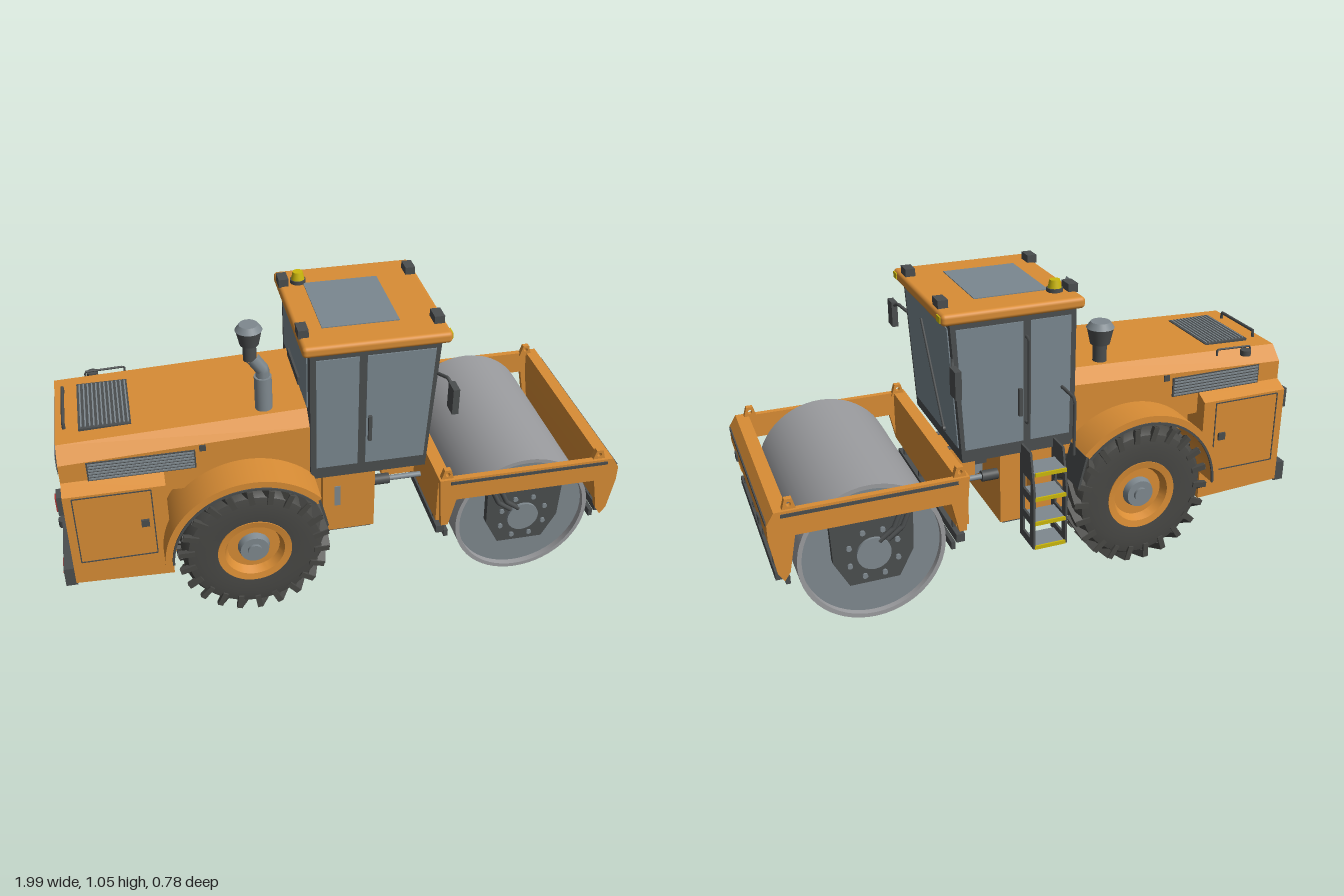
import * as THREE from 'three';
import { toCreasedNormals } from 'three/addons/utils/BufferGeometryUtils.js';
import { RoundedBoxGeometry } from 'three/addons/geometries/RoundedBoxGeometry.js';

const colour = (name, hex) => {
  const m = new THREE.MeshStandardMaterial({ color: hex });
  m.name = name;
  return m;
};

export function createModel() {
  const model = new THREE.Group();
  model.name = 'roadRoller';
  const paint = colour('orangePaint', 0xd98d35), dark = colour('darkMetal', 0x4b4e4f);
  const glass = colour('glass', 0x7a8890), rubber = colour('rubber', 0x484845);
  const steel = colour('drumSteel', 0x9b9c9f), grey = colour('greyMetal', 0x7f898f);
  const yellow = colour('signalYellow', 0xccb80c), red = colour('tailRed', 0xa83434);

  // Helpers
  const add = (name, geo, mat, x = 0, y = 0, z = 0, parent = model) => {
    const m = new THREE.Mesh(geo, mat);
    m.name = name;
    m.position.set(x, y, z);
    parent.add(m);
    return m;
  };
  const box = (name, mat, w, h, d, x, y, z, parent) => add(name, new THREE.BoxGeometry(w, h, d), mat, x, y, z, parent);
  const cyl = (name, mat, r1, r2, h, x, y, z, axis = 'y', parent = model) => {
    const m = add(name, new THREE.CylinderGeometry(r1, r2, h, 32), mat, x, y, z, parent);
    if (axis === 'z') m.rotation.x = Math.PI / 2;
    if (axis === 'x') m.rotation.z = -Math.PI / 2;
    return m;
  };
  const outline = pts => new THREE.Shape(pts.map(p => new THREE.Vector2(...p)));
  const slab = (name, mat, shape, depth, z, parent) => add(name, toCreasedNormals(
    new THREE.ExtrudeGeometry(shape, { depth, bevelEnabled: false, curveSegments: 32 }), 0.5), mat, 0, 0, z - depth / 2, parent);
  const tube = (name, mat, pts, r, parent = model) => {
    const path = new THREE.CurvePath(), v = pts.map(p => new THREE.Vector3(...p));
    for (let i = 1; i < v.length; i++) path.add(new THREE.LineCurve3(v[i - 1], v[i]));
    return add(name, new THREE.TubeGeometry(path, (v.length - 1) * 6, r, 8), mat, 0, 0, 0, parent);
  };
  const lathe = (name, mat, pts, parent) => add(name, toCreasedNormals(
    new THREE.LatheGeometry(pts.map(p => new THREE.Vector2(...p)), 56), 0.6), mat, 0, 0, 0, parent);
  // Skin over [x, y, z] cross-sections ordered along +x
  const loft = (name, mat, sections) => {
    const pos = [], n = sections[0].length, last = sections.length - 1;
    const tri = (...p) => p.forEach(q => pos.push(...q));
    for (let k = 0; k < last; k++) for (let i = 0; i < n; i++) {
      const j = (i + 1) % n, a = sections[k], b = sections[k + 1];
      tri(a[i], a[j], b[j]);
      tri(a[i], b[j], b[i]);
    }
    for (let i = 1; i < n - 1; i++) {
      tri(sections[last][0], sections[last][i], sections[last][i + 1]);
      tri(sections[0][0], sections[0][i + 1], sections[0][i]);
    }
    const g = new THREE.BufferGeometry();
    g.setAttribute('position', new THREE.Float32BufferAttribute(pos, 3));
    g.computeVertexNormals();
    return add(name, g, mat);
  };
  const hoodSection = (x, top, mid, low, zt, zm) =>
    [[x, top, -zt], [x, top, zt], [x, mid, zm], [x, low, zm], [x, low, -zm], [x, mid, -zm]];

  // Rear body, hood and chassis
  loft('hood', paint, [hoodSection(-0.95, 0.695, 0.645, 0.5, 0.2, 0.25), hoodSection(-0.11, 0.725, 0.68, 0.48, 0.2, 0.25)]);
  loft('engineHousing', paint, [hoodSection(-0.95, 0.575, 0.55, 0.175, 0.25, 0.3), hoodSection(-0.61, 0.575, 0.55, 0.16, 0.25, 0.3)]);
  box('chassis', paint, 0.76, 0.34, 0.38, -0.24, 0.33, 0);
  box('bellyPlate', dark, 0.74, 0.008, 0.37, -0.24, 0.157, 0);
  for (let i = 0; i < 12; i++) box('topGrilleSlat', grey, 0.005, 0.008, 0.26, -0.862 + i * 0.0142, 0.707, 0);
  box('topGrille', dark, 0.175, 0.01, 0.28, -0.785, 0.702, 0);
  tube('rearHandle', dark, [[-0.92, 0.69, -0.11], [-0.92, 0.72, -0.11], [-0.92, 0.72, 0.11], [-0.92, 0.69, 0.11]], 0.006);
  tube('sideHandle', dark, [[-0.84, 0.69, -0.215], [-0.84, 0.708, -0.215], [-0.7, 0.713, -0.215], [-0.7, 0.69, -0.215]], 0.004);
  box('rearBumper', dark, 0.04, 0.075, 0.6, -0.965, 0.205, 0);
  cyl('towHitch', dark, 0.02, 0.02, 0.03, -0.983, 0.21, 0);
  box('rearGrille', dark, 0.01, 0.14, 0.32, -0.952, 0.36, 0);
  for (let i = 0; i < 7; i++) box('rearGrilleSlat', grey, 0.006, 0.006, 0.3, -0.957, 0.305 + i * 0.0185, 0);
  box('upperRearGrille', dark, 0.01, 0.065, 0.4, -0.952, 0.61, 0);
  for (let i = 0; i < 4; i++) box('upperRearSlat', grey, 0.006, 0.006, 0.38, -0.957, 0.59 + i * 0.014, 0);

  for (const s of [1, -1]) {
    box('tailLampHousing', dark, 0.02, 0.075, 0.05, -0.958, 0.51, s * 0.265);
    box('tailLamp', red, 0.006, 0.055, 0.03, -0.97, 0.51, s * 0.265);
    box('bumperReflector', red, 0.006, 0.016, 0.07, -0.987, 0.2, s * 0.23);
    box('sideGrille', dark, 0.36, 0.072, 0.008, -0.68, 0.61, s * 0.251);
    for (let i = 0; i < 6; i++) box('sideGrilleSlat', grey, 0.35, 0.006, 0.005, -0.68, 0.582 + i * 0.0115, s * 0.256);
    box('hoodLatch', dark, 0.022, 0.022, 0.008, -0.475, 0.65, s * 0.251);
    // Service door seams
    for (const y of [0.265, 0.54]) box('doorSeam', dark, 0.26, 0.004, 0.004, -0.79, y, s * 0.3);
    for (const x of [-0.92, -0.66]) box('doorSeam', dark, 0.004, 0.275, 0.004, x, 0.4025, s * 0.3);
    box('doorLatch', dark, 0.028, 0.028, 0.012, -0.69, 0.405, s * 0.302);

    // Fender arch with a dark mudflap
    const arch = new THREE.Shape();
    arch.absarc(-0.33, 0.27, 0.31, 0.72, Math.PI, false);
    arch.absarc(-0.33, 0.27, 0.28, Math.PI, 0.72, true);
    slab('fender', paint, arch, 0.2, s * 0.283);
    const lip = new THREE.Shape();
    lip.absarc(-0.33, 0.27, 0.286, 0.72, Math.PI, false);
    lip.absarc(-0.33, 0.27, 0.278, Math.PI, 0.72, true);
    slab('fenderLip', dark, lip, 0.006, s * 0.384);
    const flap = box('mudflap', dark, 0.008, 0.12, 0.13, -0.09, 0.41, s * 0.32);
    flap.rotation.z = 0.25;

    // Rear wheel
    const wheel = new THREE.Group();
    wheel.name = 'rearWheel';
    wheel.position.set(-0.33, 0.268, s * 0.287);
    model.add(wheel);
    const spun = new THREE.Group();
    spun.name = 'tyreAndRim';
    spun.rotation.x = s * Math.PI / 2;
    wheel.add(spun);
    lathe('tyre', rubber, [[0.125, -0.08], [0.19, -0.086], [0.232, -0.078], [0.248, -0.055],
      [0.25, 0], [0.248, 0.055], [0.232, 0.078], [0.19, 0.086], [0.125, 0.08]], spun);
    lathe('rim', paint, [[0, -0.06], [0.13, -0.06], [0.13, 0.084], [0.105, 0.08], [0.092, 0.05], [0, 0.05]], spun);
    cyl('hub', grey, 0.05, 0.058, 0.03, 0, 0.06, 0, 'y', spun);
    cyl('hubCap', grey, 0.025, 0.025, 0.03, 0, 0.07, 0, 'y', spun);
    for (let i = 0; i < 22; i++) for (const t of [1, -1]) {
      const lug = new THREE.Group();
      lug.name = 'treadLug';
      lug.rotation.z = (i + (t > 0 ? 0 : 0.5)) * Math.PI / 11;
      wheel.add(lug);
      box('treadBar', rubber, 0.03, 0.02, 0.1, 0.25, 0, t * 0.04, lug).rotation.x = t * 0.6;
      box('shoulderBar', rubber, 0.055, 0.02, 0.018, 0.235, -0.028, t * 0.079, lug);
    }
  }

  // Exhaust and air intake
  cyl('exhaustBase', grey, 0.03, 0.03, 0.13, -0.25, 0.78, 0.155);
  tube('exhaustPipe', grey, [[-0.25, 0.82, 0.155], [-0.25, 0.87, 0.155], [-0.283, 0.92, 0.155]], 0.024);
  cyl('intakePipe', dark, 0.025, 0.025, 0.1, -0.25, 0.76, -0.16);
  cyl('intakeBowl', dark, 0.048, 0.035, 0.06, -0.25, 0.815, -0.16);
  cyl('intakeCap', grey, 0.035, 0.05, 0.022, -0.25, 0.855, -0.16);
  cyl('fuelCap', dark, 0.02, 0.02, 0.02, -0.815, 0.69, -0.225);

  // Cab shell, windows and roof
  slab('cabShell', dark, outline([[-0.11, 0.465], [0.302, 0.465], [0.335, 0.97], [-0.11, 0.97]]), 0.52, 0);
  for (const s of [1, -1]) {
    slab('rearSideWindow', glass, outline([[-0.09, 0.512], [0.055, 0.512], [0.055, 0.945], [-0.09, 0.945]]), 0.006, s * 0.261);
    slab('frontSideWindow', glass, outline([[0.082, 0.512], [0.292, 0.512], [0.316, 0.945], [0.082, 0.945]]), 0.006, s * 0.261);
    box('doorHandle', dark, 0.012, 0.1, 0.015, 0.095, 0.66, s * 0.268);
    // Mirror on a bent arm
    tube('mirrorArm', dark, [[0.325, 0.84, s * 0.25], [0.345, 0.855, s * 0.31], [0.355, 0.838, s * 0.345]], 0.006);
    box('mirror', dark, 0.022, 0.095, 0.055, 0.352, 0.807, s * 0.36);
    box('roofMarker', yellow, 0.006, 0.022, 0.035, 0.366, 0.986, s * 0.247);
    for (const x of [-0.12, 0.338]) box('workLamp', dark, 0.035, 0.03, 0.058, x, 1.017, s * 0.18);
  }
  const tilt = -Math.atan(0.033 / 0.505);
  box('windscreen', glass, 0.006, 0.435, 0.47, 0.32, 0.728, 0).rotation.z = tilt;
  tube('wiper', dark, [[0.313, 0.525, -0.1], [0.336, 0.885, 0.05]], 0.005);
  cyl('wiperPivot', dark, 0.01, 0.01, 0.014, 0.312, 0.527, -0.1, 'x');
  box('rearWindow', glass, 0.006, 0.2, 0.44, -0.111, 0.84, 0);
  box('rearWiper', dark, 0.012, 0.03, 0.2, -0.116, 0.77, 0);
  add('roof', new RoundedBoxGeometry(0.502, 0.04, 0.556, 3, 0.014), paint, 0.115, 0.985, 0);
  box('roofHatch', glass, 0.265, 0.006, 0.32, 0.083, 1.005, 0);
  cyl('beaconBase', dark, 0.028, 0.028, 0.016, -0.065, 1.01, -0.178);
  cyl('beacon', yellow, 0.018, 0.024, 0.03, -0.065, 1.031, -0.178);

  // Side tank, ladder and handrails
  box('sideTank', paint, 0.1, 0.21, 0.46, -0.01, 0.355, 0);
  box('levelGauge', grey, 0.022, 0.085, 0.006, -0.008, 0.352, 0.231);
  const cheek = outline([[0.25, 0.14], [0.375, 0.14], [0.375, 0.36], [0.34, 0.5], [0.25, 0.5]]);
  for (let i = 0; i < 3; i++) cheek.holes.push(new THREE.Path([[0.28, 0.17], [0.345, 0.17], [0.345, 0.225], [0.28, 0.225]]
    .map(p => new THREE.Vector2(p[0], p[1] + i * 0.085))));
  for (const x of [-0.035, 0.085]) {
    const side = new THREE.Group();
    side.name = 'ladderCheek';
    side.rotation.y = Math.PI / 2;
    side.position.x = x;
    model.add(side);
    slab('ladderPlate', dark, cheek, 0.008, 0, side);
  }
  for (let i = 0; i < 4; i++) {
    box('ladderStep', grey, 0.12, 0.008, 0.095, 0.025, 0.145 + i * 0.095, -0.323);
    box('stepEdge', yellow, 0.115, 0.014, 0.006, 0.025, 0.145 + i * 0.095, -0.373);
  }
  tube('handrail', dark, [[-0.06, 0.69, -0.25], [-0.06, 0.69, -0.37], [-0.06, 0.48, -0.37]], 0.006);
  tube('doorRail', dark, [[0.07, 0.89, -0.25], [0.07, 0.89, -0.285], [0.07, 0.58, -0.285], [0.07, 0.58, -0.25]], 0.006);

  // Articulated joint with steering rams
  box('jointBlock', paint, 0.13, 0.13, 0.16, 0.26, 0.36, 0);
  cyl('jointPin', grey, 0.05, 0.05, 0.13, 0.19, 0.36, 0);
  box('jointTongue', dark, 0.12, 0.05, 0.1, 0.18, 0.36, 0);
  for (const s of [1, -1]) {
    cyl('ramBody', dark, 0.02, 0.02, 0.14, 0.13, 0.345, s * 0.16, 'x');
    cyl('ramRod', grey, 0.01, 0.01, 0.14, 0.26, 0.345, s * 0.16, 'x');
    tube('hydraulicHose', dark, [[0.13, 0.41, s * 0.06], [0.22, 0.435, s * 0.07], [0.33, 0.42, s * 0.06]], 0.009);
  }

  // Drum frame
  const sidePlate = outline([[0.32, 0.48], [0.96, 0.48], [0.985, 0.44], [0.985, 0.385], [0.965, 0.26], [0.945, 0.23],
    [0.925, 0.26], [0.9, 0.39], [0.385, 0.39], [0.36, 0.28], [0.335, 0.28]]);
  box('rearCrossbeam', paint, 0.045, 0.19, 0.73, 0.3425, 0.385, 0);
  slab('frontCrossbeam', paint, outline([[0.915, 0.48], [0.96, 0.48], [0.985, 0.44], [0.985, 0.385], [0.962, 0.26], [0.94, 0.26], [0.92, 0.39]]), 0.73, 0);
  box('frontStripe', dark, 0.006, 0.012, 0.74, 0.985, 0.437, 0);
  for (const [x, tag] of [[0.955, 'front'], [0.345, 'rear']]) {
    box(tag + 'ScraperBar', dark, 0.03, 0.03, 0.7, x, 0.232, 0);
    box(tag + 'ScraperBlade', dark, 0.015, 0.028, 0.69, x + (x > 0.65 ? -0.025 : 0.025), 0.205, 0);
    for (const z of [-0.29, -0.1, 0.1, 0.29]) box('scraperBracket', dark, 0.02, 0.05, 0.012, x, 0.245, z);
  }
  for (const s of [1, -1]) {
    slab('frameSide', paint, sidePlate, 0.022, s * 0.374);
    box('sideStripe', dark, 0.58, 0.012, 0.006, 0.65, 0.465, s * 0.385);
    box('headlamp', dark, 0.012, 0.026, 0.04, 0.985, 0.388, s * 0.235);
    for (const x of [0.35, 0.91]) {
      const eye = outline([[x - 0.025, 0.47], [x + 0.025, 0.47], [x + 0.012, 0.515], [x - 0.012, 0.515]]);
      const hole = new THREE.Path();
      hole.absarc(x, 0.497, 0.008, 0, Math.PI * 2, true);
      eye.holes.push(hole);
      slab('liftingEye', paint, eye, 0.02, s * 0.365);
    }
    // Drum drive plate
    slab('drivePlate', dark, outline([[0.51, 0.395], [0.79, 0.395], [0.785, 0.24], [0.735, 0.145], [0.565, 0.145], [0.515, 0.24]]), 0.03, s * 0.347);
    cyl('driveHub', grey, 0.058, 0.058, 0.016, 0.65, 0.255, s * 0.364, 'z');
    for (let i = 0; i < 8; i++) {
      const a = (i + 0.5) * Math.PI / 4;
      cyl('driveBolt', grey, 0.009, 0.009, 0.012, 0.65 + 0.088 * Math.cos(a), 0.255 + 0.088 * Math.sin(a), s * 0.364, 'z');
    }
    for (const d of [0, 0.03]) tube('driveHose', dark, [[0.52 + d, 0.4, s * 0.366], [0.55 + d, 0.335, s * 0.37], [0.6 + d, 0.295, s * 0.366]], 0.009);
  }

  // Drum with recessed ends
  const drum = new THREE.Group();
  drum.name = 'drum';
  drum.position.set(0.65, 0.252, 0);
  drum.rotation.x = Math.PI / 2;
  model.add(drum);
  lathe('drumShell', steel, [[0.235, -0.33], [0.235, -0.357], [0.25, -0.357], [0.25, 0.357], [0.235, 0.357], [0.235, 0.33]], drum);
  cyl('drumEnds', grey, 0.236, 0.236, 0.67, 0, 0, 0, 'y', drum);

  return model;
}
